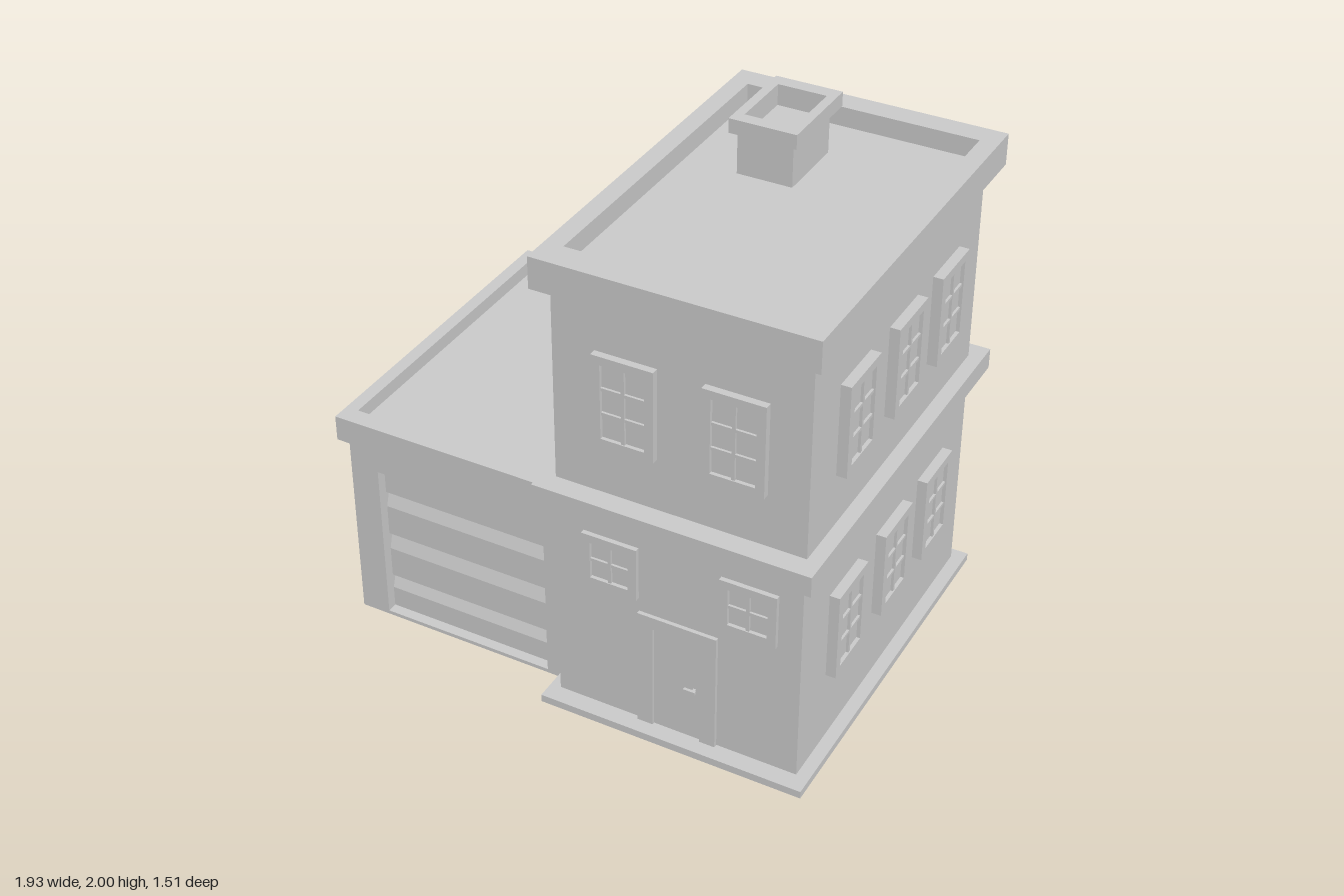
import * as THREE from 'three';

const material = new THREE.MeshStandardMaterial({ color: 0xcccccc, flatShading: true });

function add(parent, name, geometry) {
  const mesh = new THREE.Mesh(geometry, material);
  mesh.name = name;
  parent.add(mesh);
  return mesh;
}

// Box given by its limits on each axis
function block(parent, name, x0, x1, y0, y1, z0, z1) {
  const mesh = add(parent, name, new THREE.BoxGeometry(x1 - x0, y1 - y0, z1 - z0));
  mesh.position.set((x0 + x1) / 2, (y0 + y1) / 2, (z0 + z1) / 2);
  return mesh;
}

function rect(path, [x0, x1, y0, y1]) {
  path.moveTo(x0, y0);
  path.lineTo(x1, y0);
  path.lineTo(x1, y1);
  path.lineTo(x0, y1);
  path.closePath();
  return path;
}

// Rectangle with a rectangular opening, extruded along +z
function frameGeometry(outer, inner, depth) {
  const shape = rect(new THREE.Shape(), outer);
  shape.holes.push(rect(new THREE.Path(), inner));
  return new THREE.ExtrudeGeometry(shape, { depth, bevelEnabled: false });
}

// Horizontal rim; limits are [x0, x1, z0, z1]
function rim(parent, name, outer, inner, y0, y1) {
  const flip = ([a, b, c, d]) => [a, b, -d, -c];
  const geometry = frameGeometry(flip(outer), flip(inner), y1 - y0);
  geometry.rotateX(-Math.PI / 2);
  add(parent, name, geometry).position.y = y0;
}

// Window standing on its bottom edge, facing +z from a wall at z = 0
function makeWindow(name, w, h, depth, rows) {
  const g = new THREE.Group();
  g.name = name;
  const b = 0.033, half = w / 2, bar = 0.006;
  add(g, 'windowFrame', frameGeometry([-half, half, 0, h], [-half + b, half - b, b, h - b], depth));
  block(g, 'windowGlass', -half + b, half - b, b, h - b, -0.01, depth - 0.014);
  block(g, 'verticalBar', -bar, bar, b, h - b, 0, depth - 0.004);
  for (let i = 1; i < rows; i++) {
    const y = b + (h - 2 * b) * i / rows;
    block(g, 'horizontalBar', -half + b, half - b, y - bar, y + bar, 0, depth - 0.005);
  }
  return g;
}

function place(parent, win, x, y, z, turn) {
  win.position.set(x, y, z);
  win.rotation.y = turn;
  parent.add(win);
}

function makeTower() {
  const g = new THREE.Group();
  g.name = 'mainHouse';
  block(g, 'plinth', -0.07, 0.96, 0, 0.03, -0.73, 0.76);
  block(g, 'groundFloor', -0.03, 0.91, 0, 0.9, -0.685, 0.69);
  block(g, 'floorBand', -0.08, 0.965, 0.885, 0.965, -0.755, 0.76);
  block(g, 'upperFloor', -0.03, 0.91, 0.95, 1.78, -0.68, 0.68);
  rim(g, 'roofParapet', [-0.07, 0.96, -0.748, 0.748], [0, 0.89, -0.655, 0.64], 1.735, 1.855);

  // Chimney with an open cap
  block(g, 'chimneyCore', 0.21, 0.41, 1.77, 1.92, -0.45, -0.18);
  rim(g, 'chimneyShaft', [0.205, 0.415, -0.455, -0.17], [0.22, 0.405, -0.445, -0.19], 1.77, 1.945);
  rim(g, 'chimneyCap', [0.185, 0.44, -0.5, -0.14], [0.22, 0.405, -0.445, -0.19], 1.945, 2);

  // Tall windows on the sides
  for (const z of [0.365, -0.015, -0.375]) {
    place(g, makeWindow('rightLowerWindow', 0.23, 0.35, 0.038, 3), 0.91, 0.32, z, Math.PI / 2);
    place(g, makeWindow('rightUpperWindow', 0.23, 0.355, 0.038, 3), 0.91, 1.17, z, Math.PI / 2);
    place(g, makeWindow('leftUpperWindow', 0.23, 0.355, 0.027, 3), -0.03, 1.17, z, -Math.PI / 2);
  }
  // Windows on front and back
  for (const x of [0.245, 0.648]) {
    place(g, makeWindow('frontUpperWindow', 0.23, 0.355, 0.027, 3), x, 1.17, 0.68, 0);
    place(g, makeWindow('backUpperWindow', 0.23, 0.355, 0.036, 3), x, 1.17, -0.68, Math.PI);
    place(g, makeWindow('backLowerWindow', 0.23, 0.35, 0.031, 3), x, 0.317, -0.685, Math.PI);
  }
  for (const x of [0.187, 0.715]) {
    place(g, makeWindow('frontSmallWindow', 0.214, 0.215, 0.018, 2), x, 0.57, 0.69, 0);
  }

  // Front door
  add(g, 'doorFrame', frameGeometry([0.295, 0.6, 0, 0.515], [0.355, 0.54, 0.03, 0.465], 0.022)).position.z = 0.683;
  block(g, 'doorLeaf', 0.355, 0.54, 0.03, 0.465, 0.68, 0.694);
  block(g, 'doorHandle', 0.48, 0.525, 0.244, 0.256, 0.704, 0.715);
  block(g, 'doorHandleStem', 0.51, 0.521, 0.245, 0.255, 0.69, 0.71);
  return g;
}

function makeGarage() {
  const g = new THREE.Group();
  g.name = 'garage';
  const opening = [-0.825, -0.13, 0.015, 0.66];
  block(g, 'garageBody', -0.94, -0.03, 0, 0.82, -0.645, 0.54);
  add(g, 'garageFrontWall', frameGeometry([-0.94, -0.03, 0, 0.82], opening, 0.075)).position.z = 0.54;
  rim(g, 'garageParapet', [-0.97, -0.03, -0.675, 0.645], [-0.92, -0.035, -0.6, 0.575], 0.775, 0.875);

  // Door of flat panels joined by slanted strips; the profile is (z, y)
  const front = 0.575, deep = 0.555;
  const profile = [[0.53, 0.015], [front, 0.015]];
  for (const [low, high] of [[0.1, 0.16], [0.285, 0.355], [0.48, 0.545]]) {
    profile.push([front, low], [deep, high], [front, high]);
  }
  profile.push([front, 0.66], [0.53, 0.66]);
  const shape = new THREE.Shape(profile.map(([z, y]) => new THREE.Vector2(-z, y)));
  const door = new THREE.ExtrudeGeometry(shape, { depth: 0.695, bevelEnabled: false });
  door.rotateY(Math.PI / 2);
  add(g, 'garageDoor', door).position.x = opening[0];
  return g;
}

export function createModel() {
  const model = new THREE.Group();
  model.name = 'houseWithGarage';
  model.add(makeTower(), makeGarage());
  return model;
}
